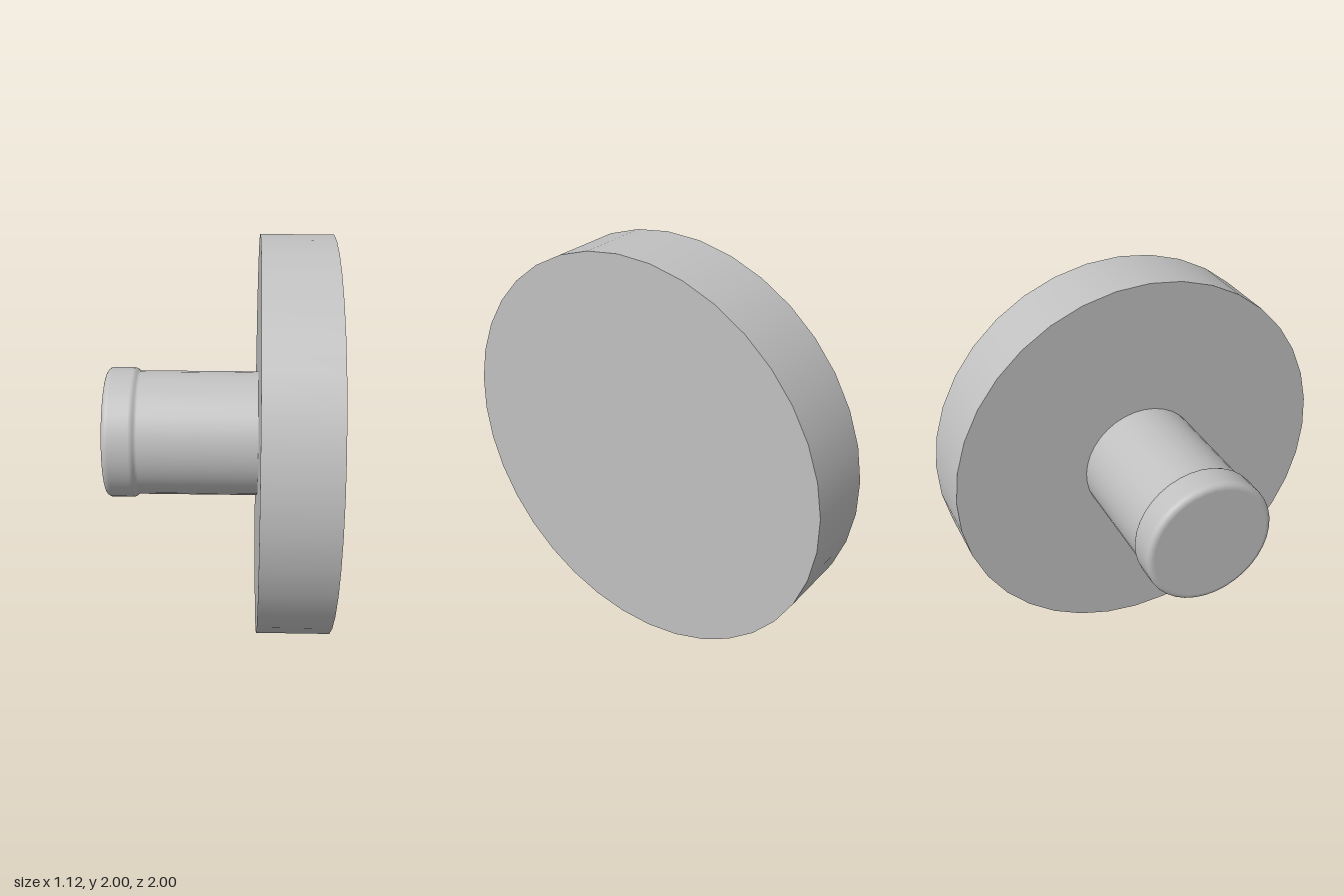
import * as THREE from 'three';

const SIDES = 36;
const START = THREE.MathUtils.degToRad(-7);

export function createModel() {
  const group = new THREE.Group();
  const metal = new THREE.MeshStandardMaterial({ color: 0xc0c0c0 });
  metal.name = 'plain grey';

  // Place a part turned about +y so that its axis runs along +x at mid height
  const add = (name, geometry, x) => {
    const mesh = new THREE.Mesh(geometry, metal);
    mesh.name = name;
    mesh.rotation.z = -Math.PI / 2;
    mesh.position.set(x, 1, 0);
    group.add(mesh);
  };

  // Wide flat disc
  add('disc', new THREE.CylinderGeometry(1, 1, 0.354, SIDES, 1, false, START, Math.PI * 2), 0.38);

  // Stem with a slightly thicker, rounded collar at its free end
  const profile = [[0, -0.558], [0.298, -0.558]];
  const round = 0.03;
  for (let i = 0; i <= 6; i++) {
    const a = (i / 6) * Math.PI / 2;
    profile.push([0.301 + round * Math.sin(a), -0.528 - round * Math.cos(a)]);
  }
  profile.push(
    [0.331, -0.525], [0.331, -0.425], [0.33, -0.416], [0.326, -0.407],
    [0.319, -0.4], [0.3155, -0.393], [0.315, -0.386], [0.315, -0.38], [0.315, 0.21]
  );
  const points = profile.map(([r, x]) => new THREE.Vector2(r, x));
  add('stem', new THREE.LatheGeometry(points, SIDES, START, Math.PI * 2), 0);

  return group;
}
